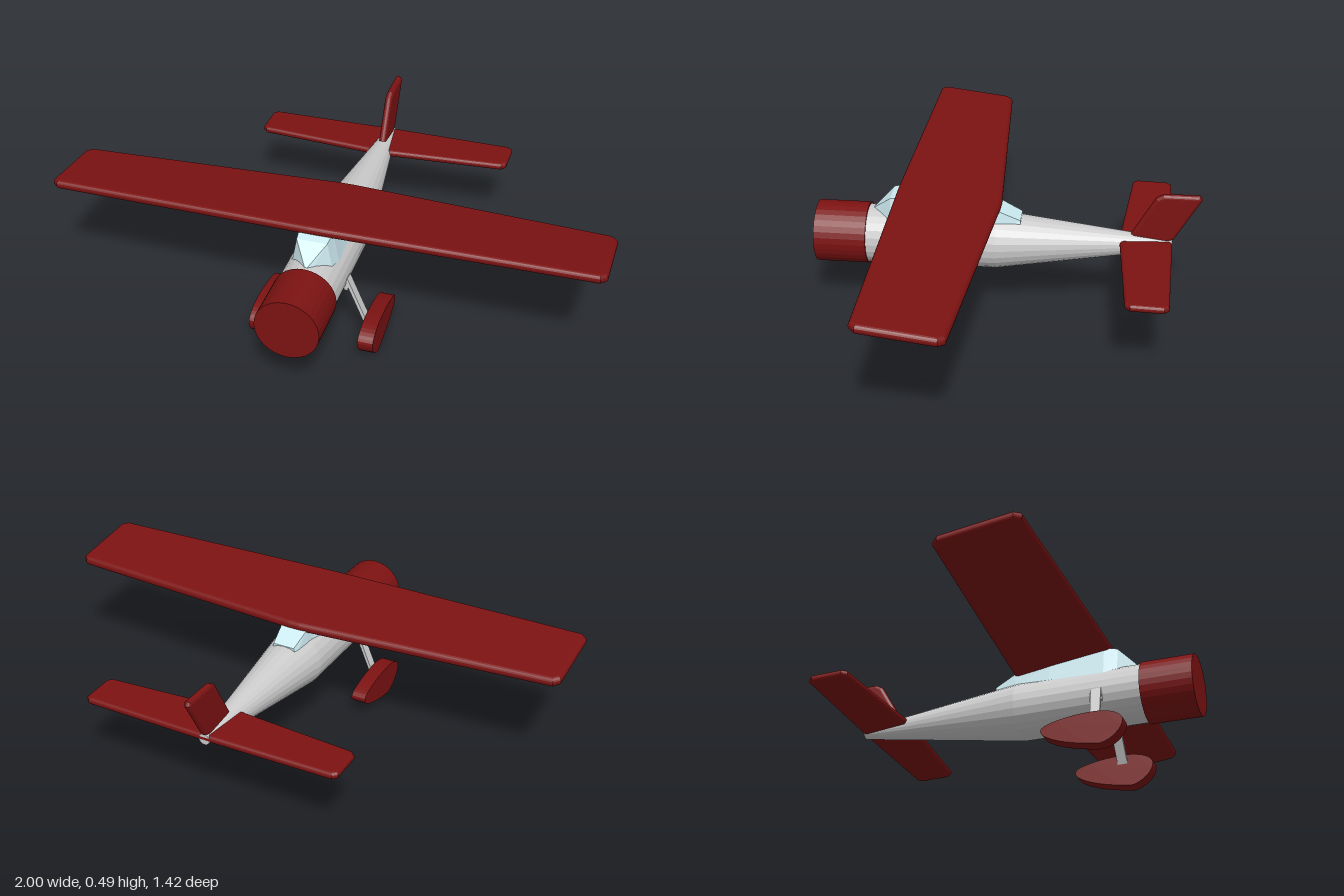
import * as THREE from 'three';

const paint = (color) => new THREE.MeshStandardMaterial({ color, flatShading: true });
const red = paint(0x7c1212), grey = paint(0xcccccc), glass = paint(0xcdebf2);

function add(parent, name, geometry, material) {
  const mesh = new THREE.Mesh(geometry, material);
  mesh.name = name;
  parent.add(mesh);
  return mesh;
}

// Thin plate with rounded edges and clipped corners, centred on its own plane
function plate(points, half) {
  const corners = points.map(([a, b]) => new THREE.Vector2(a, b));
  const outline = corners.flatMap((c, i) =>
    [corners.at(i - 1), corners[(i + 1) % corners.length]].map((next) =>
      next.clone().sub(c).setLength(half * 1.25).add(c)));
  const geo = new THREE.ExtrudeGeometry(new THREE.Shape(outline), {
    depth: 0.002, bevelThickness: half - 0.001, bevelSize: half, bevelOffset: -half, bevelSegments: 5,
  });
  return geo.translate(0, 0, -0.001);
}

// Mirrored horizontal surface; y follows base + slope * z
function liftingSurface(span, rootFront, tipFront, tipBack, rootBack, half, base, slope) {
  const geo = plate([
    [0, rootFront], [span, tipFront], [span, tipBack],
    [0, rootBack], [-span, tipBack], [-span, tipFront],
  ], half).rotateX(Math.PI / 2);
  const p = geo.attributes.position;
  for (let i = 0; i < p.count; i++) p.setY(i, p.getY(i) + base + slope * p.getZ(i));
  geo.computeVertexNormals();
  return geo;
}

// Round hull from rings [z, centre y, radius], front to back, closed at both ends
function hull(rings, sides) {
  const pos = [];
  const all = [[rings[0][0], rings[0][1], 0], ...rings, [rings.at(-1)[0], rings.at(-1)[1], 0]];
  all.forEach(([z, y, r]) => {
    for (let i = 0; i < sides; i++) {
      const a = (i / sides) * Math.PI * 2;
      pos.push(r * Math.sin(a), y + r * Math.cos(a), z);
    }
  });
  return loft(pos, [], all.length, sides);
}

// Joins equal rings (clockwise seen from the front, front to back) into a skin
function loft(pos, index, count, sides) {
  for (let k = 0; k < count - 1; k++) {
    for (let i = 0; i < sides; i++) {
      const a = k * sides + i, b = k * sides + (i + 1) % sides;
      index.push(a, b, a + sides, b, b + sides, a + sides);
    }
  }
  const geo = new THREE.BufferGeometry();
  geo.setAttribute('position', new THREE.Float32BufferAttribute(pos, 3));
  geo.setIndex(index);
  geo.computeVertexNormals();
  return geo;
}

// Cabin glazing from stations [z, bottom x, bottom y, top x, top y]
function cabinGeometry() {
  const stations = [
    [0.5, 0.012, 0.36, 0.004, 0.382],
    [0.43, 0.074, 0.345, 0.055, 0.445],
    [0.38, 0.084, 0.335, 0.06, 0.456],
    [0.17, 0.079, 0.337, 0.057, 0.432],
    [0.03, 0.06, 0.345, 0.052, 0.412],
    [-0.05, 0.05, 0.345, 0.042, 0.374],
  ];
  const pos = [];
  stations.forEach(([z, bx, by, tx, ty]) =>
    pos.push(-bx, by, z, -tx, ty, z, tx, ty, z, bx, by, z));
  const e = (stations.length - 1) * 4;
  const ends = [0, 3, 2, 0, 2, 1, e, e + 1, e + 2, e, e + 2, e + 3];
  return loft(pos, ends, stations.length, 4);
}

// Teardrop wheel fairing, flat on both sides
function fairingGeometry() {
  const s = new THREE.Shape();
  s.moveTo(0.485, 0.08);
  s.bezierCurveTo(0.485, 0.105, 0.44, 0.125, 0.38, 0.125);
  s.bezierCurveTo(0.32, 0.125, 0.25, 0.115, 0.21, 0.1);
  s.bezierCurveTo(0.175, 0.088, 0.178, 0.068, 0.21, 0.05);
  s.bezierCurveTo(0.26, 0.022, 0.34, 0.008, 0.4, 0.001);
  s.bezierCurveTo(0.44, 0.006, 0.485, 0.045, 0.485, 0.08);
  const geo = new THREE.ExtrudeGeometry(s, { depth: 0.056, bevelEnabled: false, curveSegments: 8 });
  return geo.translate(0, 0, -0.028).rotateY(-Math.PI / 2);
}

export function createModel() {
  const model = new THREE.Group();
  model.name = 'highWingAeroplane';

  // Body
  add(model, 'fuselage', hull([[0.53, 0.2745, 0.1085], [0.04, 0.2745, 0.1085], [-0.605, 0.287, 0.021]], 24), grey);
  add(model, 'engineCowling', hull([[0.713, 0.275, 0.115], [0.519, 0.275, 0.115]], 32), red);
  add(model, 'cabinGlazing', cabinGeometry(), glass);

  // Wing and tail
  add(model, 'wing', liftingSurface(1, 0.405, 0.391, 0.088, 0.023, 0.0175, 0.4135, 0.125), red);
  add(model, 'tailplane', liftingSurface(0.5, -0.412, -0.449, -0.6, -0.606, 0.0135, 0.308, 0.03), red);
  const fin = plate([[-0.44, 0.3], [-0.548, 0.489], [-0.716, 0.489], [-0.603, 0.295]], 0.014);
  add(model, 'tailFin', fin.rotateY(-Math.PI / 2), red);

  // Landing gear; the right wheel sits slightly closer in
  const down = new THREE.Vector3(0, -1, 0);
  for (const [name, side, track] of [['left', 1, 0.207], ['right', -1, 0.196]]) {
    const gear = new THREE.Group();
    gear.name = `${name}LandingGear`;
    model.add(gear);
    add(gear, 'wheelFairing', fairingGeometry(), red).position.x = side * track;

    const top = new THREE.Vector3(side * 0.105, 0.268, 0.359);
    const foot = new THREE.Vector3(side * (track - 0.022), 0.09, 0.369);
    const dir = foot.clone().sub(top);
    const leg = add(gear, 'gearLeg', new THREE.BoxGeometry(0.012, dir.length(), 0.037), grey);
    leg.position.copy(top).add(foot).multiplyScalar(0.5);
    leg.quaternion.setFromUnitVectors(down, dir.normalize());

    const bracket = add(gear, 'legBracket', new THREE.BoxGeometry(0.014, 0.03, 0.045), grey);
    bracket.position.set(side * 0.106, 0.237, 0.357);
  }
  return model;
}
